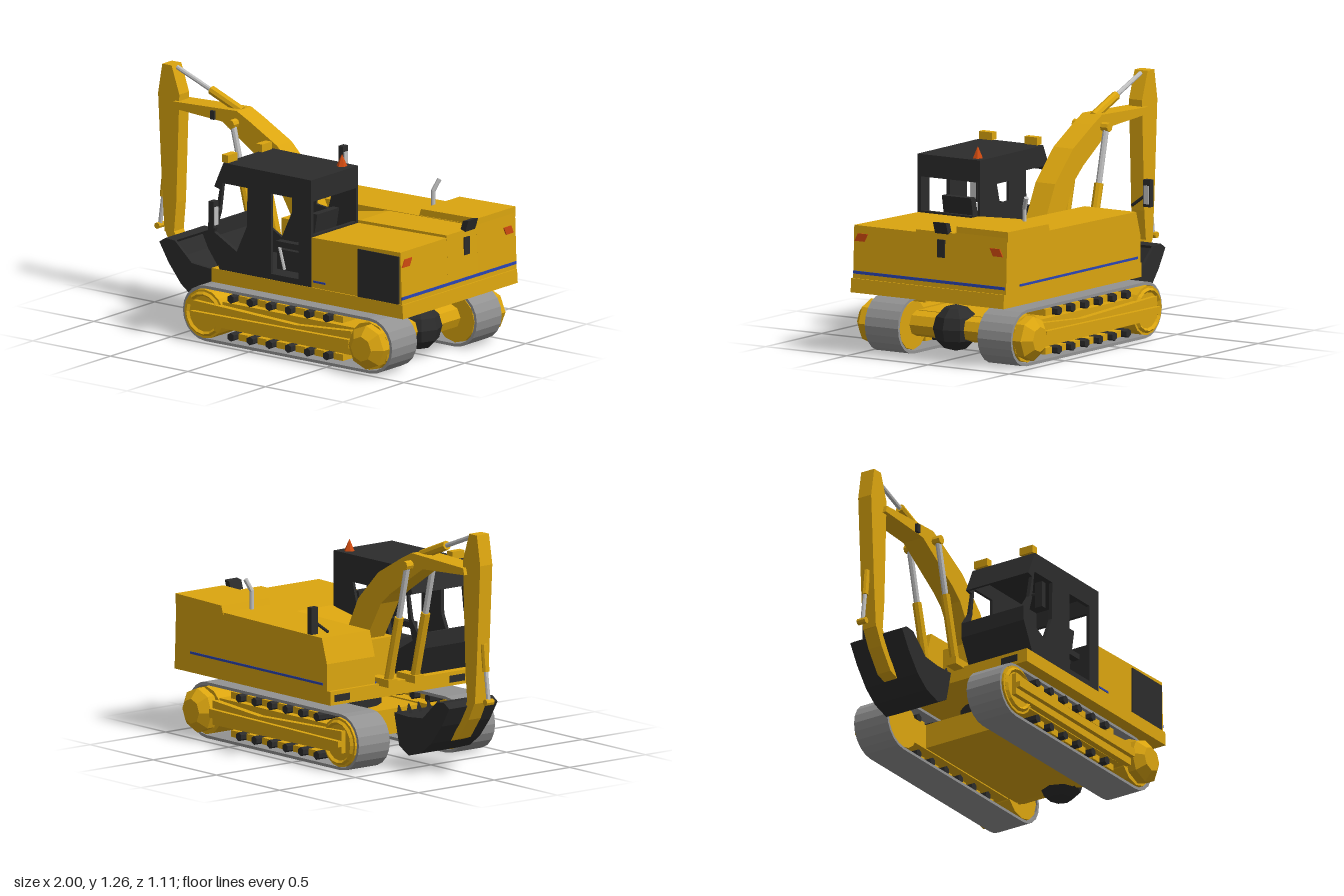
import * as THREE from 'three';

const mat = (name, color, extra = {}) => {
  const m = new THREE.MeshStandardMaterial({ color, flatShading: true, side: THREE.DoubleSide, ...extra });
  m.name = name;
  return m;
};

export function createModel() {
  const root = new THREE.Group();
  root.name = 'excavator';
  const yellow = mat('yellow paint', 0xdba50f), black = mat('black', 0x2c2c2c), grey = mat('track grey', 0x929292);
  const silver = mat('silver', 0xc0c0c0), blue = mat('blue', 0x2c45b4), orange = mat('orange', 0xcf4a10);

  const add = (name, geo, m, parent = root) => {
    const mesh = new THREE.Mesh(geo, m);
    mesh.name = name;
    parent.add(mesh);
    return mesh;
  };
  // box from its limits
  const box = (name, m, x0, x1, y0, y1, z0, z1, parent) => {
    const b = add(name, new THREE.BoxGeometry(x1 - x0, y1 - y0, z1 - z0), m, parent);
    b.position.set((x0 + x1) / 2, (y0 + y1) / 2, (z0 + z1) / 2);
    return b;
  };
  const pts = (list) => list.map(([x, y]) => new THREE.Vector2(x, y));
  // side profile extruded from z0 to z1
  const plate = (name, m, outline, z0, z1, holes = [], parent = root) => {
    const s = new THREE.Shape(pts(outline));
    for (const h of holes) s.holes.push(new THREE.Path(pts(h)));
    const g = new THREE.ExtrudeGeometry(s, { depth: z1 - z0, bevelEnabled: false });
    g.translate(0, 0, z0);
    return add(name, g, m, parent);
  };
  // cylinder between two points
  const rod = (name, m, a, b, r, sides = 8, r2 = r, parent = root) => {
    const A = new THREE.Vector3(...a), B = new THREE.Vector3(...b), d = B.clone().sub(A);
    const c = add(name, new THREE.CylinderGeometry(r2, r, d.length(), sides), m, parent);
    c.position.copy(A).add(B).multiplyScalar(0.5);
    c.quaternion.setFromUnitVectors(new THREE.Vector3(0, 1, 0), d.normalize());
    return c;
  };
  const stadium = (r) => {
    const p = [];
    for (let i = 0; i <= 10; i++) p.push([0.75 + r * Math.sin(i * Math.PI / 10), 0.147 - r * Math.cos(i * Math.PI / 10)]);
    for (let i = 0; i <= 10; i++) p.push([-0.31 - r * Math.sin(i * Math.PI / 10), 0.147 + r * Math.cos(i * Math.PI / 10)]);
    return p;
  };

  // crawler tracks
  for (const s of [1, -1]) {
    const t = new THREE.Group();
    t.name = s > 0 ? 'leftTrack' : 'rightTrack';
    t.position.z = 0.012;
    root.add(t);
    const span = (a, b) => (s > 0 ? [a, b] : [-b, -a]);
    const [z0, z1] = span(0.245, 0.45);
    plate('trackBelt', grey, stadium(0.145), z0, z1, [stadium(0.13)], t);
    rod('idlerWheel', yellow, [-0.31, 0.147, s * 0.25], [-0.31, 0.147, s * 0.46], 0.128, 16, 0.128, t);
    const ring = add('idlerRim', new THREE.TorusGeometry(0.105, 0.012, 4, 16), yellow, t);
    ring.position.set(-0.31, 0.147, s * 0.462);
    rod('driveSprocket', yellow, [0.75, 0.147, s * 0.25], [0.75, 0.147, s * 0.455], 0.125, 12, 0.125, t);
    rod('driveHub', yellow, [0.765, 0.15, s * 0.44], [0.765, 0.15, s * 0.5], 0.115, 8, 0.115, t);
    rod('driveHubCap', yellow, [0.765, 0.15, s * 0.5], [0.765, 0.15, s * 0.542], 0.115, 8, 0.065, t);
    box('trackFrame', yellow, -0.2, 0.65, 0.09, 0.225, ...span(0.26, 0.45), t);
    plate('frameSide', yellow, [[-0.36, 0.1], [0.66, 0.09], [0.66, 0.215], [0.3, 0.19], [-0.36, 0.215]], ...span(0.45, 0.485), [], t);
    plate('frameRib', yellow, [[-0.36, 0.135], [0.66, 0.13], [0.66, 0.175], [-0.36, 0.165]], ...span(0.485, 0.51), [], t);
    for (let i = 0; i < 6; i++) {
      const x = -0.135 + i * 0.123;
      for (const y of [0.252, 0.053]) {
        rod('roller', black, [x, y, s * 0.27], [x, y, s * 0.465], 0.023, 6, 0.023, t);
        box('rollerMount', yellow, x + 0.03, x + 0.09, y - 0.017, y + 0.017, ...span(0.3, 0.44), t);
      }
    }
  }

  // undercarriage
  box('chassis', yellow, -0.1, 0.7, 0.09, 0.22, -0.24, 0.265);
  rod('slewRing', black, [0.18, 0.2, 0], [0.18, 0.335, 0], 0.185, 16);
  const drive = add('driveHousing', new THREE.SphereGeometry(0.12, 8, 6), black);
  drive.position.set(0.72, 0.155, 0.02);
  rod('axle', yellow, [0.72, 0.155, -0.25], [0.72, 0.155, 0.27], 0.066, 8);

  // deck and engine body
  plate('deck', yellow, [[-0.25, 0.328], [0.985, 0.328], [0.98, 0.4], [-0.25, 0.4]], -0.455, 0.487);
  plate('rightBody', yellow, [[-0.23, 0.4], [0.972, 0.4], [0.962, 0.69], [0.58, 0.68], [-0.19, 0.67], [-0.23, 0.54]], -0.462, -0.145);
  plate('middleBody', yellow, [[0.08, 0.4], [0.972, 0.4], [0.962, 0.685], [0.4, 0.675], [0.08, 0.62]], -0.145, 0.1);
  plate('leftBody', yellow, [[0.39, 0.4], [0.972, 0.4], [0.962, 0.672], [0.39, 0.66]], 0.1, 0.48);
  plate('engineHatch', yellow, [[0.585, 0.67], [0.962, 0.67], [0.962, 0.722], [0.6, 0.715]], -0.467, -0.15);
  box('sideGrille', black, 0.69, 0.955, 0.4, 0.65, 0.477, 0.486);
  box('leftStripe', blue, 0.4, 0.48, 0.427, 0.437, 0.477, 0.484);
  box('rightStripe', blue, -0.2, 0.85, 0.427, 0.439, -0.466, -0.458);
  box('rearStripe', blue, 0.966, 0.975, 0.424, 0.439, -0.455, 0.48);
  box('rearPanel', black, 0.962, 0.971, 0.555, 0.647, -0.082, -0.036);
  for (const [zc, s] of [[0.433, 1], [-0.4, -1]]) {
    const lamp = plate('rearLamp', orange, [[-0.04, -0.02], [0.02, -0.02], [0.04, 0.02], [-0.02, 0.02]], 0, 0.006);
    lamp.rotation.y = Math.PI / 2;
    lamp.position.set(0.965, 0.612, zc);
    lamp.scale.x = -s;
    lamp.scale.x *= -1;
  }
  plate('rearCamera', black, [[0.95, 0.69], [0.98, 0.68], [1, 0.74], [0.965, 0.735]], -0.11, -0.03);
  rod('exhaust', silver, [0.565, 0.67, -0.295], [0.565, 0.78, -0.295], 0.011);
  rod('exhaustTip', silver, [0.565, 0.775, -0.295], [0.585, 0.835, -0.32], 0.012);
  box('stepPlate', blue, -0.23, -0.19, 0.4, 0.408, -0.145, -0.08);
  for (const z of [-0.38, 0.38]) box('deckSlot', black, -0.255, -0.248, 0.345, 0.38, z - 0.05, z + 0.05);

  // cab
  const side = [[0.39, 0.4], [0.39, 0.96], [-0.175, 0.96], [-0.235, 0.83], [-0.2, 0.82], [-0.225, 0.7], [-0.275, 0.63], [-0.275, 0.55], [-0.2, 0.4]];
  const frontWindow = [[-0.18, 0.855], [-0.02, 0.855], [-0.025, 0.65], [-0.09, 0.51], [-0.235, 0.59], [-0.2, 0.7]];
  plate('cabLeftWall', black, side, 0.465, 0.485, [frontWindow, [[0.13, 0.43], [0.31, 0.43], [0.31, 0.85], [0.13, 0.85]]]);
  plate('cabRightWall', black, side, 0.1, 0.115, [frontWindow, [[0.13, 0.72], [0.21, 0.71], [0.24, 0.82], [0.13, 0.82]]]);
  plate('cabRoof', black, [[0.39, 0.96], [-0.175, 0.962], [-0.235, 0.83], [-0.22, 0.83], [-0.15, 0.93], [0.39, 0.93]], 0.1, 0.485);
  box('cabRearLower', black, 0.37, 0.39, 0.4, 0.67, 0.1, 0.485);
  box('cabRearUpper', black, 0.37, 0.39, 0.845, 0.96, 0.1, 0.485);
  plate('cabFront', black, [[-0.2, 0.4], [-0.275, 0.55], [-0.275, 0.63], [-0.262, 0.63], [-0.262, 0.555], [-0.185, 0.4]], 0.1, 0.485);
  box('cabFloor', black, -0.2, 0.38, 0.4, 0.425, 0.11, 0.47);
  box('seatBase', black, 0.08, 0.3, 0.425, 0.53, 0.19, 0.37);
  plate('seatBack', black, [[0.25, 0.53], [0.3, 0.53], [0.34, 0.75], [0.3, 0.75]], 0.19, 0.37);
  for (const z of [0.16, 0.41]) {
    rod('controlLever', silver, [0.16, 0.44, z], [0.12, 0.58, z], 0.008, 6);
    box('armRest', black, 0.12, 0.3, 0.56, 0.59, z - 0.02, z + 0.02);
  }
  for (const z of [0.44, 0.16]) box('workLamp', yellow, -0.19, -0.15, 0.963, 1.003, z - 0.04, z + 0.04);
  rod('beacon', orange, [0.33, 0.96, 0.155], [0.33, 1.02, 0.155], 0.028, 6, 0.001);

  // mirrors
  for (const [z, y, zi, yi] of [[0.535, 0.7, 0.47, 0.72], [-0.53, 0.772, -0.43, 0.7]]) {
    box('mirror', black, -0.215, -0.185, y - 0.07, y + 0.07, z - 0.021, z + 0.021);
    box('mirrorGlass', silver, -0.187, -0.181, y - 0.055, y + 0.04, z - 0.015, z + 0.015);
    rod('mirrorArm', black, [-0.2, yi, zi], [-0.2, y, z], 0.008, 6);
  }

  // boom and stick
  plate('boom', yellow, [[-0.86, 1.05], [-0.85, 1.085], [-0.44, 1.1], [-0.36, 1.06], [-0.18, 0.96], [-0.02, 0.8], [0.08, 0.6], [0.02, 0.54], [-0.06, 0.56], [-0.2, 0.8], [-0.27, 0.86], [-0.53, 1.03]], -0.08, 0.04);
  box('boomMount', yellow, -0.12, 0.1, 0.4, 0.6, -0.12, 0.08);
  plate('stick', yellow, [[-0.935, 1.265], [-0.875, 1.265], [-0.825, 1.12], [-0.845, 0.55], [-0.86, 0.39], [-0.92, 0.39], [-0.935, 0.6], [-0.962, 1.11]], -0.06, 0.02);
  plate('bucketLink', yellow, [[-0.92, 0.4], [-0.86, 0.4], [-0.8, 0.28], [-0.73, 0.17], [-0.79, 0.19], [-0.87, 0.3]], -0.06, 0.02);

  // hydraulic cylinders
  for (const z of [0.07, -0.105]) {
    rod('boomPiston', silver, [-0.44, 1.04, z], [-0.36, 0.7, z], 0.016);
    rod('boomCylinder', yellow, [-0.375, 0.76, z], [-0.29, 0.42, z], 0.024);
    rod('pistonEye', yellow, [-0.44, 1.04, z - 0.022], [-0.44, 1.04, z + 0.022], 0.024);
    box('cylinderFoot', yellow, -0.325, -0.18, 0.39, 0.43, z - 0.03, z + 0.03);
  }
  rod('boomPin', yellow, [-0.44, 1.04, -0.11], [-0.44, 1.04, 0.075], 0.014);
  rod('stickPiston', silver, [-0.87, 1.25, -0.02], [-0.6, 1.145, -0.02], 0.012);
  rod('stickCylinder', yellow, [-0.65, 1.165, -0.02], [-0.45, 1.085, -0.02], 0.024);
  rod('bucketCylinder', yellow, [-0.945, 0.7, -0.02], [-0.96, 0.56, -0.02], 0.018);
  rod('bucketPiston', silver, [-0.955, 0.6, -0.02], [-0.98, 0.41, -0.02], 0.011);
  rod('bucketPistonEye', yellow, [-0.982, 0.405, -0.045], [-0.982, 0.405, 0.005], 0.017);
  box('boomLamp', black, -0.6, -0.575, 1.035, 1.08, 0.04, 0.055);

  // bucket: bent shell, two cheeks and teeth
  const outer = [[-0.86, 0.37], [-0.8, 0.27], [-0.72, 0.17], [-0.64, 0.11], [-0.54, 0.08], [-0.465, 0.12], [-0.425, 0.285]];
  const inner = [[-0.44, 0.285], [-0.48, 0.135], [-0.54, 0.097], [-0.635, 0.127], [-0.71, 0.185], [-0.785, 0.285], [-0.835, 0.385]];
  plate('bucketShell', black, [...outer, ...inner], -0.18, 0.14);
  const cheek = [...outer, [-0.54, 0.28], [-0.65, 0.29], [-0.76, 0.39], [-0.82, 0.395]];
  plate('bucketCheek', black, cheek, -0.18, -0.165);
  plate('bucketCheek', black, cheek, 0.125, 0.14);
  plate('bucketTop', black, [[-0.86, 0.37], [-0.82, 0.395], [-0.76, 0.39], [-0.77, 0.375]], -0.18, 0.14);
  for (let i = 0; i < 5; i++) {
    const z = -0.15 + i * 0.065;
    rod('bucketTooth', black, [-0.434, 0.27, z], [-0.425, 0.32, z], 0.022, 4, 0.004);
  }
  return root;
}
